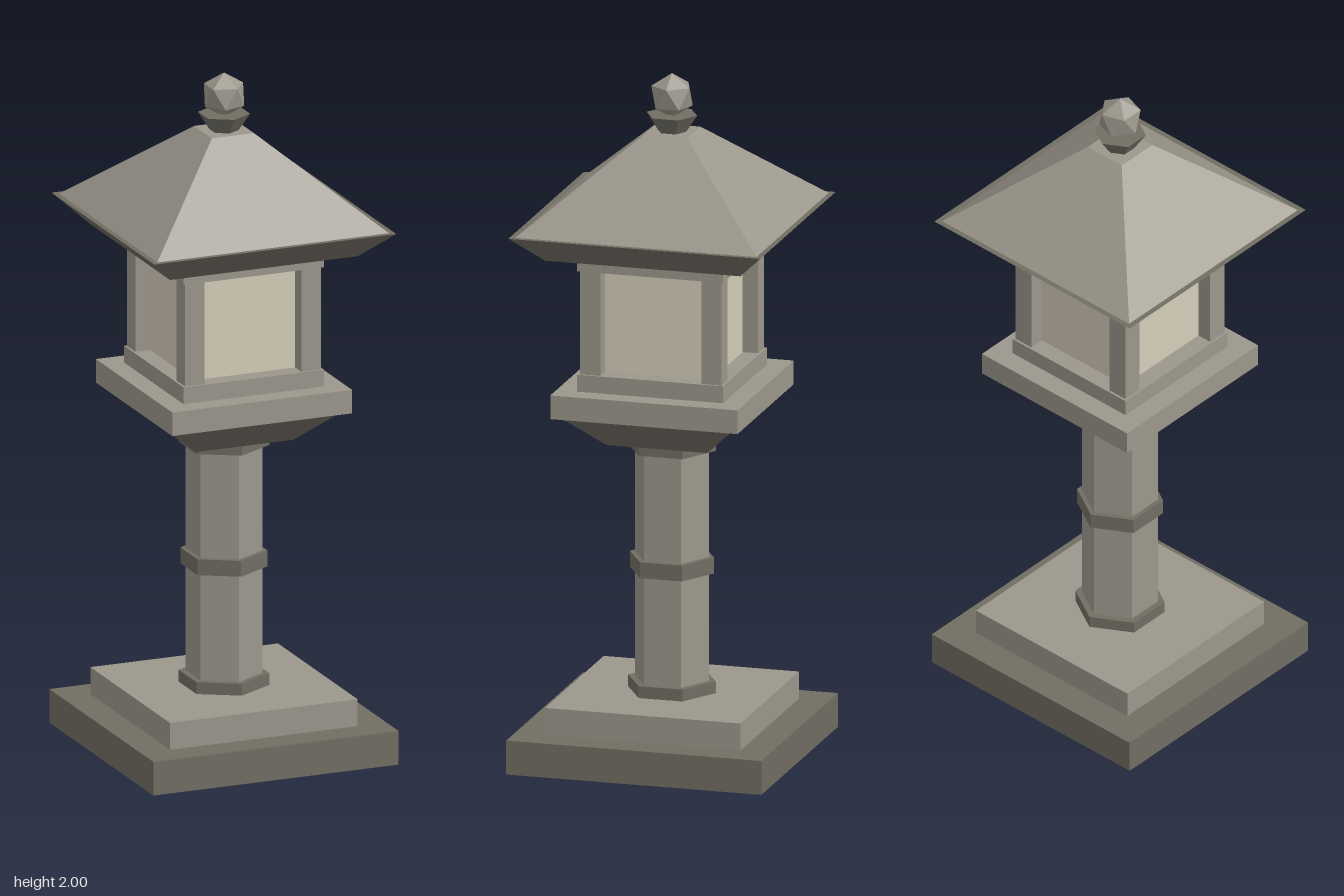
import * as THREE from 'three';

export function createModel() {
  const lantern = new THREE.Group();
  lantern.name = 'stoneLantern';

  const material = (name, color) => {
    const m = new THREE.MeshStandardMaterial({ color });
    m.name = name;
    m.flatShading = true;
    return m;
  };
  const lightStone = material('lightStone', 0x9c978c);
  const darkStone = material('darkStone', 0x716d63);
  const paper = material('windowPaper', 0xd4cdb8);

  const add = (name, geometry, mat, x = 0, y = 0, z = 0) => {
    const mesh = new THREE.Mesh(geometry, mat);
    mesh.name = name;
    mesh.position.set(x, y, z);
    lantern.add(mesh);
    return mesh;
  };
  // Square slab given by half width and its bottom and top heights
  const slab = (name, half, y0, y1, mat) =>
    add(name, new THREE.BoxGeometry(half * 2, y1 - y0, half * 2), mat, 0, (y0 + y1) / 2, 0);
  // Square tapered block, half widths at the bottom and top
  const taper = (name, half0, half1, y0, y1, mat) => {
    const g = new THREE.CylinderGeometry(half1 * Math.SQRT2, half0 * Math.SQRT2, y1 - y0, 4);
    g.rotateY(Math.PI / 4);
    return add(name, g, mat, 0, (y0 + y1) / 2, 0);
  };
  // Six-sided shaft with corners on the z axis
  const hex = (name, r0, r1, y0, y1, mat) =>
    add(name, new THREE.CylinderGeometry(r1, r0, y1 - y0, 6), mat, 0, (y0 + y1) / 2, 0);

  // Stepped base
  slab('base', 0.379, 0, 0.1, darkStone);
  slab('baseStep', 0.29, 0.1, 0.18, lightStone);

  // Column with three collars
  hex('column', 0.11, 0.11, 0.18, 0.93, lightStone);
  hex('lowerCollar', 0.13, 0.13, 0.18, 0.215, darkStone);
  hex('middleCollar', 0.125, 0.125, 0.533, 0.58, darkStone);
  hex('upperCollar', 0.13, 0.13, 0.895, 0.93, darkStone);

  // Flared support and platform
  taper('platformSupport', 0.15, 0.255, 0.93, 1.03, darkStone);
  slab('platform', 0.278, 1.03, 1.1, lightStone);

  // Light chamber: sill, corner posts, lintel and recessed windows
  slab('sill', 0.217, 1.1, 1.15, lightStone);
  slab('lintel', 0.217, 1.455, 1.5, lightStone);
  for (const x of [-1, 1]) {
    for (const z of [-1, 1]) {
      add('cornerPost', new THREE.BoxGeometry(0.06, 0.305, 0.06), lightStone, x * 0.18, 1.3025, z * 0.18);
    }
  }
  slab('windows', 0.165, 1.15, 1.455, paper);

  // Eave and roof
  taper('eave', 0.29, 0.374, 1.5, 1.58, darkStone);
  taper('roof', 0.358, 0.065, 1.58, 1.83, lightStone);

  // Finial cup and faceted ball standing on a corner
  hex('finialCup', 0.042, 0.075, 1.83, 1.88, darkStone);
  const ball = new THREE.IcosahedronGeometry(0.066, 0);
  ball.rotateZ(-Math.atan(2 / (1 + Math.sqrt(5))));
  add('finialBall', ball, lightStone, 0, 1.934, 0);

  return lantern;
}
